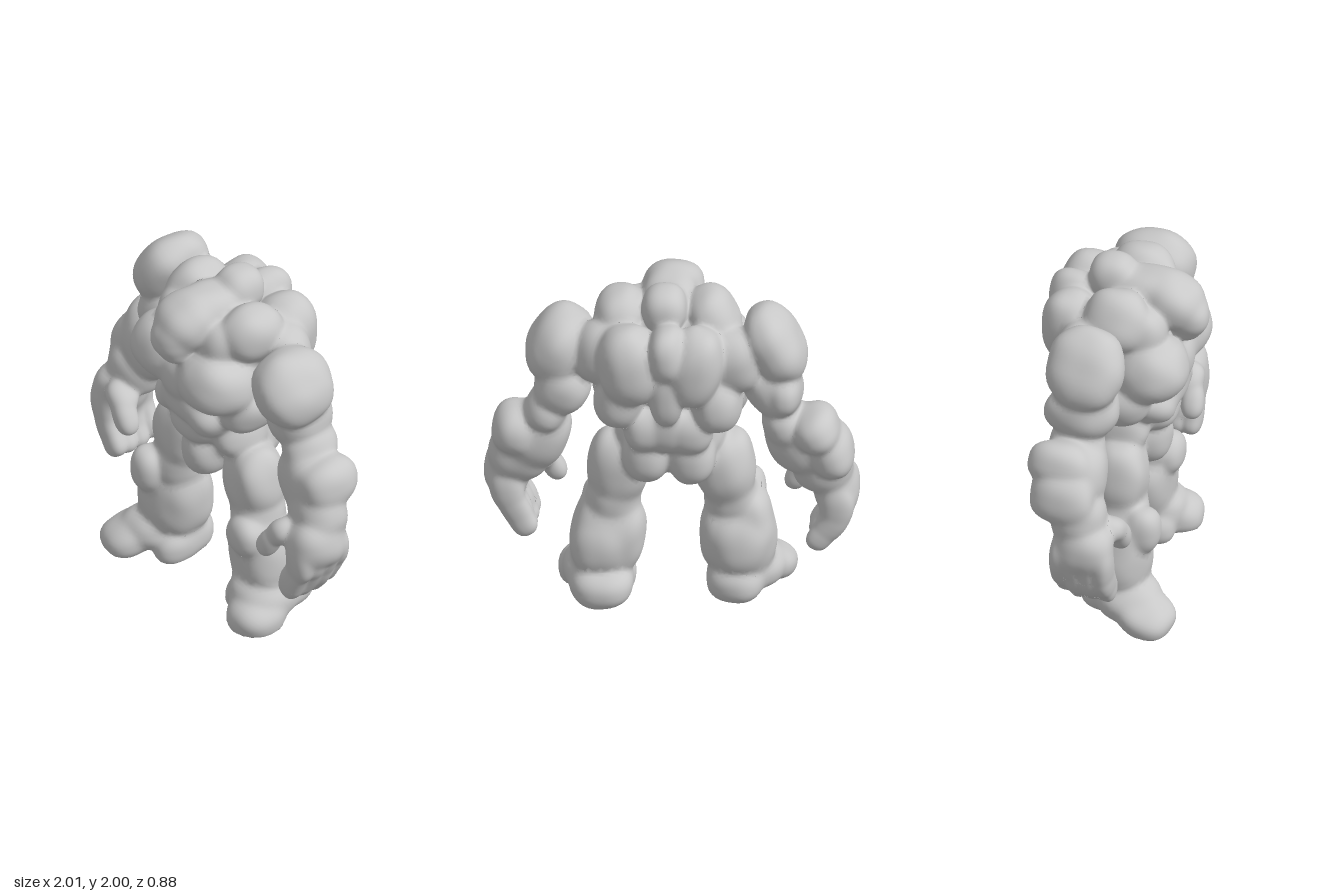
import * as THREE from 'three';
import { mergeVertices } from 'three/addons/utils/BufferGeometryUtils.js';

const stone = new THREE.MeshStandardMaterial({ color: 0xc8c8c8 });
stone.name = 'stone grey';
const BLEND = 0.014; // softness of the creases between boulders
const POWER = 2.3; // above 2 makes boulders a little boxy

// Both sides of a symmetrical list
const bothSides = (list) => list.flatMap(([n, [x, y, z], r, tz = 0, tx = 0]) => [
  [n + 'Left', [x, y, z], r, tz, tx],
  [n + 'Right', [-x, y, z], r, -tz, tx],
]);

// Four curled fingers of one hand, from knuckle to tip
function fingers(side, tuck) {
  return [0.125, 0.05, -0.03, -0.11].flatMap((z, i) => {
    const up = i === 3 ? 0.03 : 0;
    return [
      ['knuckle', [side * (0.89 - tuck / 2), 0.63 + up, z], [0.085, 0.11, 0.055], side * -0.15],
      ['fingerMiddle', [side * (0.86 - tuck), 0.51 + up, z], [0.075, 0.09, 0.052], side * -0.5],
      ['fingerTip', [side * (0.8 - tuck / 2), 0.425 + up, z], [0.065, 0.07, 0.048], side * -0.6],
    ];
  });
}

// Each boulder: name, centre, radii, tilt about z, tilt about x
const PARTS = {
  head: [
    ['skull', [0.01, 1.79, 0.25], [0.16, 0.135, 0.155], 0, 0.5],
    ['face', [0.01, 1.71, 0.34], [0.11, 0.1, 0.1]],
    ['jaw', [0.015, 1.645, 0.32], [0.085, 0.085, 0.085]],
    ['hood', [0.02, 1.81, 0.09], [0.145, 0.135, 0.2], 0, -0.1],
    ['crest', [0.03, 1.87, -0.09], [0.12, 0.125, 0.13]],
  ],
  torso: [
    ['chestCore', [0, 1.52, -0.02], [0.33, 0.28, 0.26]],
    ['breastbone', [0, 1.42, 0.23], [0.13, 0.14, 0.13]],
    ['upperBelly', [0, 1.26, 0.18], [0.19, 0.13, 0.15]],
    ['waist', [0, 1.14, 0], [0.25, 0.17, 0.2]],
    ['lowerBelly', [0, 1.09, 0.15], [0.16, 0.11, 0.135]],
    ['pelvis', [0, 0.89, 0.09], [0.12, 0.165, 0.15]],
    ['hips', [0, 0.97, -0.03], [0.21, 0.12, 0.18]],
    ['upperSpine', [0, 1.72, -0.3], [0.1, 0.15, 0.135]],
    ['midSpine', [0, 1.45, -0.31], [0.09, 0.18, 0.1]],
    ['lowerSpine', [0, 1.18, -0.21], [0.1, 0.14, 0.1]],
    ['trapeziusLeft', [0.27, 1.755, 0], [0.135, 0.155, 0.17], -0.1],
    ['trapeziusRight', [-0.23, 1.77, 0], [0.125, 0.175, 0.17], -0.45],
    ['shoulderBladeLeft', [0.2, 1.61, -0.27], [0.165, 0.23, 0.165], -0.15],
    ['shoulderBladeRight', [-0.15, 1.62, -0.27], [0.145, 0.23, 0.16], 0.15],
    ...bothSides([
      ['pectoral', [0.21, 1.475, 0.19], [0.2, 0.175, 0.2], 0.1, -0.25],
      ['neckSide', [0.18, 1.68, 0.14], [0.12, 0.14, 0.12]],
      ['rearShoulder', [0.35, 1.6, -0.15], [0.15, 0.18, 0.14]],
      ['backMuscle', [0.26, 1.36, -0.2], [0.13, 0.17, 0.15], 0.15],
      ['ribs', [0.3, 1.29, 0.03], [0.115, 0.14, 0.17], -0.35],
      ['sideBelly', [0.15, 1.21, 0.17], [0.11, 0.1, 0.135], -0.5],
      ['flank', [0.19, 1.05, 0.02], [0.1, 0.12, 0.15], 0.2],
      ['lowBack', [0.12, 1.17, -0.19], [0.12, 0.13, 0.12]],
      ['buttock', [0.12, 0.96, -0.15], [0.12, 0.15, 0.12]],
    ]),
  ],
  leftArm: [
    ['shoulder', [0.59, 1.575, -0.03], [0.165, 0.205, 0.22], 0.45],
    ['shoulderOuter', [0.67, 1.53, -0.03], [0.095, 0.13, 0.17]],
    ['upperArm', [0.57, 1.36, -0.09], [0.15, 0.16, 0.18], 0.4],
    ['elbowInner', [0.66, 1.2, -0.1], [0.11, 0.11, 0.15], 0.4],
    ['forearm', [0.7, 1.02, -0.06], [0.165, 0.2, 0.15], 0.35],
    ['elbowBoulder', [0.83, 1.06, -0.09], [0.12, 0.14, 0.165], 0.15],
    ['wrist', [0.81, 0.87, -0.04], [0.165, 0.15, 0.14], 0.3],
    ['hand', [0.87, 0.74, 0.02], [0.13, 0.14, 0.155], 0.2],
    ['thumbBase', [0.72, 0.76, 0.12], [0.09, 0.07, 0.08], 0.7],
    ['thumb', [0.645, 0.66, 0.165], [0.06, 0.095, 0.062], -0.5],
  ],
  rightArm: [
    ['shoulder', [-0.565, 1.67, -0.07], [0.135, 0.225, 0.21], -0.5],
    ['upperArm', [-0.55, 1.41, -0.07], [0.145, 0.17, 0.18], -0.45],
    ['upperArmOuter', [-0.62, 1.41, -0.13], [0.085, 0.12, 0.15]],
    ['elbowInner', [-0.61, 1.2, -0.1], [0.11, 0.12, 0.15], -0.3],
    ['forearm', [-0.7, 1.07, -0.07], [0.185, 0.19, 0.155], -0.5],
    ['elbowBoulder', [-0.79, 1.19, -0.15], [0.12, 0.12, 0.165], -0.4],
    ['forearmOuter', [-0.87, 1.03, -0.11], [0.115, 0.15, 0.17], -0.25],
    ['wrist', [-0.81, 0.88, -0.03], [0.16, 0.14, 0.145], -0.3],
    ['hand', [-0.88, 0.73, 0.02], [0.125, 0.14, 0.155], -0.1],
    ['thumbBase', [-0.74, 0.78, 0.12], [0.09, 0.07, 0.08], -0.6],
    ['thumb', [-0.665, 0.69, 0.15], [0.06, 0.095, 0.062], 0.5],
  ],
  leftFingers: fingers(1, 0.04),
  rightFingers: fingers(-1, 0),
  leftLeg: [
    ['thigh', [0.27, 0.79, -0.01], [0.155, 0.21, 0.16], 0.15],
    ['thighOuter', [0.35, 0.83, 0.01], [0.095, 0.17, 0.13], 0.2],
    ['kneeCore', [0.31, 0.6, -0.01], [0.14, 0.13, 0.14]],
    ['kneecap', [0.37, 0.52, 0.12], [0.11, 0.11, 0.085]],
    ['shin', [0.355, 0.34, -0.02], [0.185, 0.25, 0.175], 0.08],
    ['calfInner', [0.25, 0.38, -0.03], [0.115, 0.2, 0.14], 0.1],
    ['calfOuter', [0.42, 0.44, 0], [0.085, 0.16, 0.13], 0.1],
    ['calfBack', [0.38, 0.33, -0.11], [0.14, 0.16, 0.115]],
    ['heel', [0.36, 0.11, -0.13], [0.17, 0.12, 0.16]],
    ['instep', [0.41, 0.14, 0.03], [0.17, 0.12, 0.17], -0.2],
    ['toes', [0.47, 0.06, 0.12], [0.145, 0.11, 0.155], -0.15, 0.1],
    ['innerToe', [0.285, 0.07, 0.04], [0.09, 0.1, 0.13]],
  ],
  rightLeg: [
    ['thigh', [-0.27, 0.8, 0.03], [0.155, 0.22, 0.16], -0.2],
    ['thighOuter', [-0.34, 0.83, 0.05], [0.1, 0.18, 0.13], -0.15],
    ['kneeCore', [-0.31, 0.6, 0.06], [0.14, 0.13, 0.14]],
    ['kneecap', [-0.39, 0.55, 0.2], [0.1, 0.13, 0.095]],
    ['shin', [-0.365, 0.34, 0.06], [0.19, 0.24, 0.175], -0.04],
    ['calfInner', [-0.255, 0.36, 0.04], [0.105, 0.2, 0.14], -0.05],
    ['calfOuter', [-0.44, 0.47, 0.06], [0.09, 0.16, 0.13], -0.1],
    ['calfBack', [-0.36, 0.34, -0.03], [0.15, 0.17, 0.115]],
    ['heel', [-0.34, 0.1, 0], [0.15, 0.12, 0.15]],
    ['instep', [-0.43, 0.13, 0.13], [0.16, 0.115, 0.17], 0.2],
    ['toes', [-0.5, 0.07, 0.25], [0.15, 0.1, 0.15], 0.2, 0.25],
    ['innerToe', [-0.275, 0.07, 0.1], [0.09, 0.1, 0.13]],
  ],
};

function makeRock([name, centre, radii, tiltZ = 0, tiltX = 0]) {
  const turn = new THREE.Quaternion().setFromEuler(new THREE.Euler(tiltX, 0, tiltZ));
  return {
    name, turn,
    centre: new THREE.Vector3(...centre),
    radii: new THREE.Vector3(...radii),
    back: turn.clone().invert(),
    mean: Math.cbrt(radii[0] * radii[1] * radii[2]),
    reach: Math.max(...radii) * 1.2,
  };
}

const boxNorm = (v) =>
  (Math.abs(v.x) ** POWER + Math.abs(v.y) ** POWER + Math.abs(v.z) ** POWER) ** (1 / POWER);

// Roughly the distance from a point to the blended, slightly lumpy surface of the boulders
const local = new THREE.Vector3();
function field(p, rocks) {
  let sum = 0;
  for (const r of rocks) {
    local.copy(p).sub(r.centre).applyQuaternion(r.back).divide(r.radii);
    sum += Math.exp(-(boxNorm(local) - 1) * r.mean / BLEND);
  }
  const lump = Math.sin(19 * p.x + 7 * p.y) * Math.sin(17 * p.y - 5 * p.z) * Math.sin(18 * p.z + 6 * p.x);
  return -BLEND * Math.log(sum) + 0.006 * lump;
}

const probe = new THREE.Vector3();
function slope(p, rocks, value, out) {
  const e = 0.002;
  for (const axis of ['x', 'y', 'z']) {
    probe.copy(p);
    probe[axis] += e;
    out[axis] = (field(probe, rocks) - value) / e;
  }
  return out;
}

// A boulder whose skin is drawn onto the blended surface, and flat where it meets the ground
function buildRock(rock, all) {
  const near = all.filter((r) => r.centre.distanceTo(rock.centre) < r.reach + rock.reach + 0.06);
  let geo = new THREE.IcosahedronGeometry(1, 6);
  geo.deleteAttribute('normal');
  geo.deleteAttribute('uv');
  geo = mergeVertices(geo);
  const pos = geo.attributes.position;
  const normals = new THREE.BufferAttribute(new Float32Array(pos.count * 3), 3);
  const v = new THREE.Vector3(), g = new THREE.Vector3();
  for (let i = 0; i < pos.count; i++) {
    v.fromBufferAttribute(pos, i);
    v.divideScalar(boxNorm(v)).multiply(rock.radii).applyQuaternion(rock.turn).add(rock.centre);
    let value = field(v, near);
    // Points deep inside a neighbour stay hidden there
    for (let step = 0; step < 3 && value > -0.04; step++) {
      slope(v, near, value, g);
      v.addScaledVector(g, -value / Math.max(g.lengthSq(), 0.3));
      value = field(v, near);
    }
    slope(v, near, value, g).normalize();
    if (v.y <= 0) {
      v.y = 0;
      g.set(0, -1, 0);
    }
    pos.setXYZ(i, v.x, v.y, v.z);
    normals.setXYZ(i, g.x, g.y, g.z);
  }
  geo.setAttribute('normal', normals);
  const mesh = new THREE.Mesh(geo, stone);
  mesh.name = rock.name;
  return mesh;
}

export function createModel() {
  const root = new THREE.Group();
  root.name = 'stoneGolem';
  const parts = Object.entries(PARTS).map(([name, list]) => [name, list.map(makeRock)]);
  const all = parts.flatMap(([, rocks]) => rocks);
  for (const [name, rocks] of parts) {
    const group = new THREE.Group();
    group.name = name;
    for (const rock of rocks) group.add(buildRock(rock, all));
    root.add(group);
  }
  return root;
}
